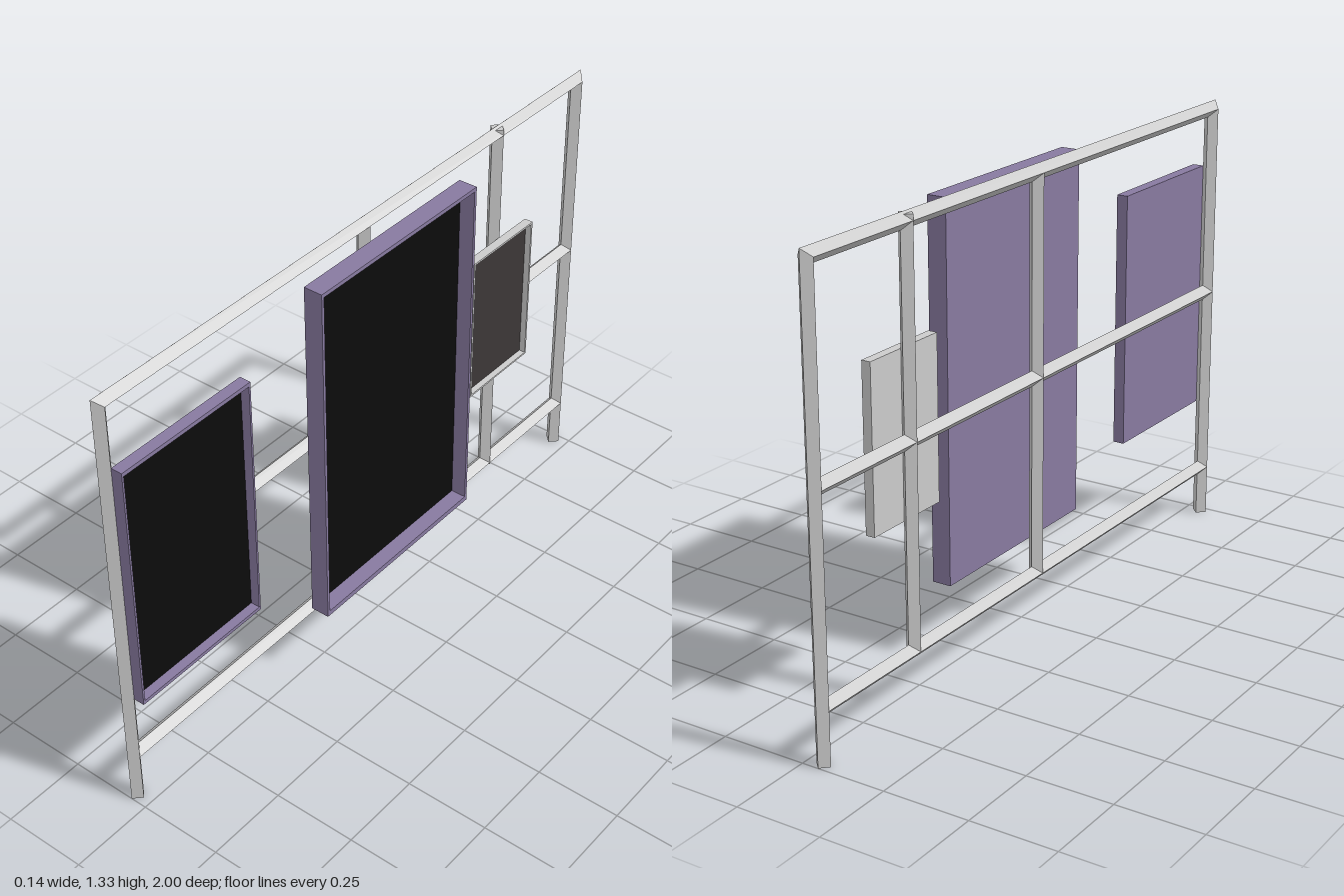
import * as THREE from 'three';

const R = 0.023;          // half diagonal of the square tube
const FRAME_X = -0.049;   // plane of the tube frame
const END = 1 - R;        // z of the outer posts
const TOP = 1.332 - R;    // y of the top rail

const material = (color) => new THREE.MeshStandardMaterial({ color, flatShading: true });

// Square tube set on edge along y; each end may be mitred by a slope in z
function tube(length, mitreTop = 0, mitreBottom = 0) {
  const geo = new THREE.CylinderGeometry(R, R, length, 4);
  const p = geo.attributes.position;
  for (let i = 0; i < p.count; i++) {
    const slope = p.getY(i) > 0 ? mitreTop : mitreBottom;
    p.setY(i, p.getY(i) + slope * p.getZ(i));
  }
  geo.computeVertexNormals();
  return geo;
}

export function createModel() {
  const model = new THREE.Group();
  const steel = material(0xcccccc);
  const purple = material(0x887aa0);
  const black = material(0x0c0c0c);
  const brown = material(0x3c3737);

  const add = (parent, name, geo, mat, x, y, z) => {
    const mesh = new THREE.Mesh(geo, mat);
    mesh.name = name;
    mesh.position.set(x, y, z);
    parent.add(mesh);
    return mesh;
  };

  // Tube frame
  const frame = new THREE.Group();
  frame.name = 'tubeFrame';
  model.add(frame);

  const upright = (name, z, y0, y1, mitre = 0) =>
    add(frame, name, tube(y1 - y0, mitre), steel, FRAME_X, (y0 + y1) / 2, z);
  const rail = (name, y, mitre = 0) =>
    add(frame, name, tube(2 * END, -mitre, mitre).rotateX(Math.PI / 2), steel, FRAME_X, y, 0);

  upright('leftEndPost', END, 0, TOP, 1);
  upright('rightEndPost', -END, 0, TOP, -1);
  upright('centrePost', 0, 0.155, TOP);
  upright('intermediatePost', -0.59, 0.15, 1.326);
  rail('topRail', TOP, 1);
  rail('middleRail', 0.737);
  rail('bottomRail', 0.155);

  // Shallow tray with a raised rim, its open side facing +x
  function panel(name, { x, y, z, rimSide, rimTop, rimBottom, back, shell, face }) {
    const group = new THREE.Group();
    group.name = name;
    model.add(group);
    const [x0, x1] = x, [y0, y1] = y, [z0, z1] = z;
    const rect = (Type, a0, b0, a1, b1) => new Type([
      new THREE.Vector2(a0, b0), new THREE.Vector2(a1, b0),
      new THREE.Vector2(a1, b1), new THREE.Vector2(a0, b1),
    ]);
    const outline = rect(THREE.Shape, -z1, y0, -z0, y1);
    outline.holes.push(rect(THREE.Path, -z1 + rimSide, y0 + rimBottom, -z0 - rimSide, y1 - rimTop));
    const rim = new THREE.ExtrudeGeometry(outline, { depth: x1 - x0, bevelEnabled: false });
    add(group, 'rim', rim.rotateY(Math.PI / 2), shell, x0, 0, 0);

    // Back plate and inset face
    const h = y1 - y0 - rimTop - rimBottom, w = z1 - z0 - 2 * rimSide;
    const cy = (y0 + rimBottom + y1 - rimTop) / 2, cz = (z0 + z1) / 2;
    add(group, 'backPlate', new THREE.BoxGeometry(back / 2, h, w), shell, x0 + back / 4, cy, cz);
    add(group, 'insetFace', new THREE.BoxGeometry(back / 2, h, w), face, x0 + back * 0.75, cy, cz);
  }

  panel('largePanel', {
    x: [0.011, 0.068], y: [0.223, 1.302], z: [-0.336, 0.312],
    rimSide: 0.009, rimTop: 0.012, rimBottom: 0.016, back: 0.01, shell: purple, face: black,
  });
  panel('mediumPanel', {
    x: [-0.026, 0.008], y: [0.37, 1.13], z: [0.52, 0.977],
    rimSide: 0.006, rimTop: 0.012, rimBottom: 0.011, back: 0.006, shell: purple, face: black,
  });
  panel('smallPanel', {
    x: [-0.027, 0], y: [0.512, 0.977], z: [-0.717, -0.435],
    rimSide: 0.006, rimTop: 0.006, rimBottom: 0.006, back: 0.008, shell: steel, face: brown,
  });

  return model;
}
